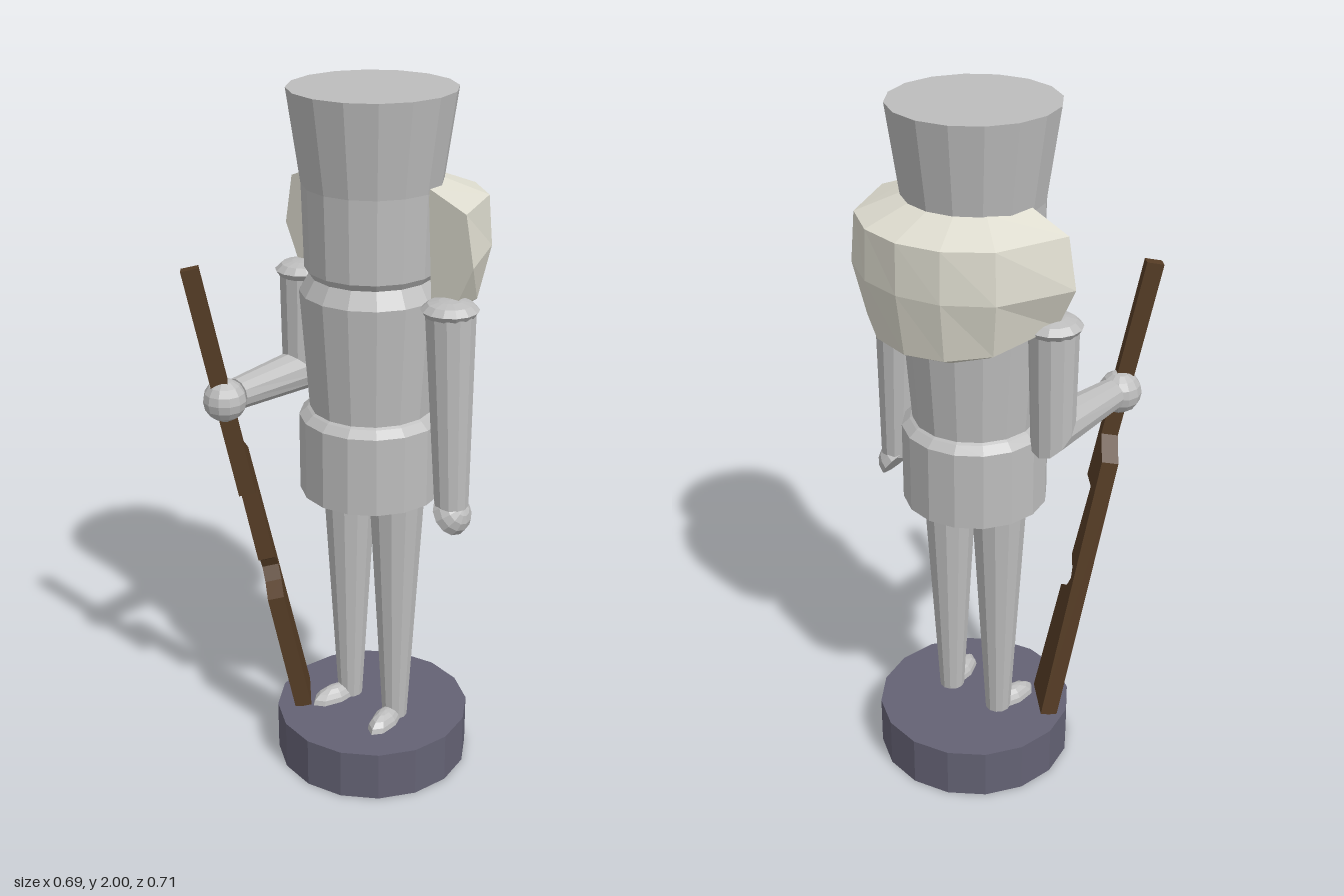
import * as THREE from 'three';

const V = (x, y, z) => new THREE.Vector3(x, y, z);
const CZ = -0.042; // depth of the body axis

function flat(name, color, extra = {}) {
  const m = new THREE.MeshStandardMaterial({ color, flatShading: true, ...extra });
  m.name = name;
  return m;
}

// Skin a row of equal-sized rings, with both ends capped
function loft(rings) {
  const pos = [];
  const tri = (...pts) => pts.forEach(p => pos.push(p.x, p.y, p.z));
  const n = rings[0].length;
  for (let i = 0; i < rings.length - 1; i++) {
    for (let j = 0; j < n; j++) {
      const k = (j + 1) % n, r = rings[i], s = rings[i + 1];
      tri(r[j], r[k], s[k]);
      tri(r[j], s[k], s[j]);
    }
  }
  const first = rings[0], last = rings[rings.length - 1];
  for (let j = 1; j < n - 1; j++) {
    tri(first[0], first[j + 1], first[j]);
    tri(last[0], last[j], last[j + 1]);
  }
  const g = new THREE.BufferGeometry();
  g.setAttribute('position', new THREE.Float32BufferAttribute(pos, 3));
  g.computeVertexNormals();
  return g;
}

// Ring around a centre, spanned by two axes
function ring(c, r, e1, e2, n = 12) {
  return Array.from({ length: n }, (_, i) => {
    const a = (i / n) * Math.PI * 2;
    return c.clone().addScaledVector(e1, r * Math.cos(a)).addScaledVector(e2, r * Math.sin(a));
  });
}

const lathe = (pts, n) => new THREE.LatheGeometry(pts.map(p => new THREE.Vector2(...p)), n);

export function createModel() {
  const model = new THREE.Group();
  model.name = 'toySoldier';
  const grey = flat('plain grey', 0xbdbdbd);
  const cream = flat('fur cream', 0xdedccf);
  const slate = flat('base slate', 0x646274);
  const wood = flat('rifle wood', 0x553c25);

  const add = (name, geo, mat, x = 0, y = 0, z = 0) => {
    const m = new THREE.Mesh(geo, mat);
    m.name = name;
    m.position.set(x, y, z);
    model.add(m);
    return m;
  };

  // Round stand
  add('base', new THREE.CylinderGeometry(0.285, 0.285, 0.15, 16), slate, 0.007, 0.075, -0.04);

  // Coat skirt and torso
  add('torso', lathe([[0, 0.875], [0.202, 0.875], [0.202, 1.1], [0.18, 1.12], [0.172, 1.125],
    [0.197, 1.46], [0.168, 1.51], [0, 1.51]], 16), grey, 0, 0, CZ);

  // Head with flared hat
  add('headAndHat', lathe([[0, 1.5], [0.166, 1.5], [0.182, 1.525], [0.188, 1.75],
    [0.224, 2], [0, 2]], 16), grey, 0, 0, CZ);

  // Legs and turned-out feet
  for (const [side, x, turn] of [['left', 0.098, 0.2], ['right', -0.08, -0.2]]) {
    add(side + 'Leg', new THREE.CylinderGeometry(0.08, 0.037, 0.75, 12), grey, x, 0.525, -0.037);
    const foot = new THREE.SphereGeometry(1, 8, 4, 0, Math.PI * 2, 0, Math.PI / 2);
    foot.scale(0.037, 0.042, 0.08).translate(0, 0, 0.058);
    add(side + 'Foot', foot, grey, x, 0.149, -0.037).rotation.y = turn;
  }

  // Shoulder caps
  const cap = [[0, 1.44], [0.066, 1.445], [0.078, 1.462], [0.06, 1.479], [0.03, 1.486], [0, 1.488]];
  add('leftShoulder', lathe(cap, 14), grey, 0.268, 0, CZ);
  add('rightShoulder', lathe(cap, 14), grey, -0.257, 0, CZ);

  // Hanging arm with half-round hand
  const X = V(1, 0, 0), Y = V(0, 1, 0), Z = V(0, 0, 1);
  add('leftArm', loft([
    ring(V(0.27, 1.46, CZ), 0.068, X, Z),
    ring(V(0.289, 0.905, CZ), 0.047, X, Z),
  ]), grey);
  const dome = [[0, 0]];
  for (let i = 0; i <= 4; i++) {
    const a = (i / 4) * Math.PI / 2;
    dome.push([0.06 * Math.cos(a), 0.06 * Math.sin(a)]);
  }
  add('leftHand', lathe(dome, 12), grey, 0.285, 0.874, CZ).rotation.z = -0.91;

  // Bent arm with a mitred elbow, reaching forward
  add('rightArm', loft([
    ring(V(-0.258, 1.46, CZ), 0.067, X, Z),
    ring(V(-0.263, 1.16, CZ), 0.06, X, V(0, 1, 1)),
    ring(V(-0.268, 1.16, 0.22), 0.044, X, Y),
  ]), grey);
  add('rightHand', new THREE.SphereGeometry(0.061, 12, 8), grey, -0.27, 1.155, 0.262);

  // Thick fur mass wrapped round the back of the head
  const wrap = [2, 42, 67, 90, 113, 138, 178].map(deg => {
    const a = deg * Math.PI / 180, f = Math.sin(a);
    const section = [
      [0.185, 1.765], [0.305 + 0.004 * f, 1.717], [0.332 - 0.02 * f, 1.58],
      [0.278 + 0.008 * f, 1.47 - 0.06 * f], [0.2 + 0.03 * f, 1.43 - 0.05 * f],
    ];
    return section.map(([r, y]) => V(r * Math.cos(a), y, CZ - r * f));
  });
  add('backRoll', loft(wrap), cream);

  // Leaning rifle: barrel, notched grip and stock in one outline
  const outline = [[-0.149, 0], [-0.005, 0], [-0.012, 0.378], [-0.065, 0.41], [-0.087, 0.45],
    [-0.075, 0.478], [-0.036, 0.5], [-0.043, 0.735], [0.018, 0.74], [0.017, 1.412],
    [-0.014, 1.412], [-0.012, 0.89], [-0.085, 0.838]];
  const shape = new THREE.Shape(outline.map(p => new THREE.Vector2(...p)));
  const rifleGeo = new THREE.ExtrudeGeometry(shape, { depth: 0.048, bevelEnabled: false });
  rifleGeo.translate(0, 0, -0.024);
  const rifle = add('rifle', rifleGeo, wood, -0.124, 0.15, 0.124);
  rifle.rotation.set(0.2, -Math.PI / 4, 0, 'YXZ');

  return model;
}
